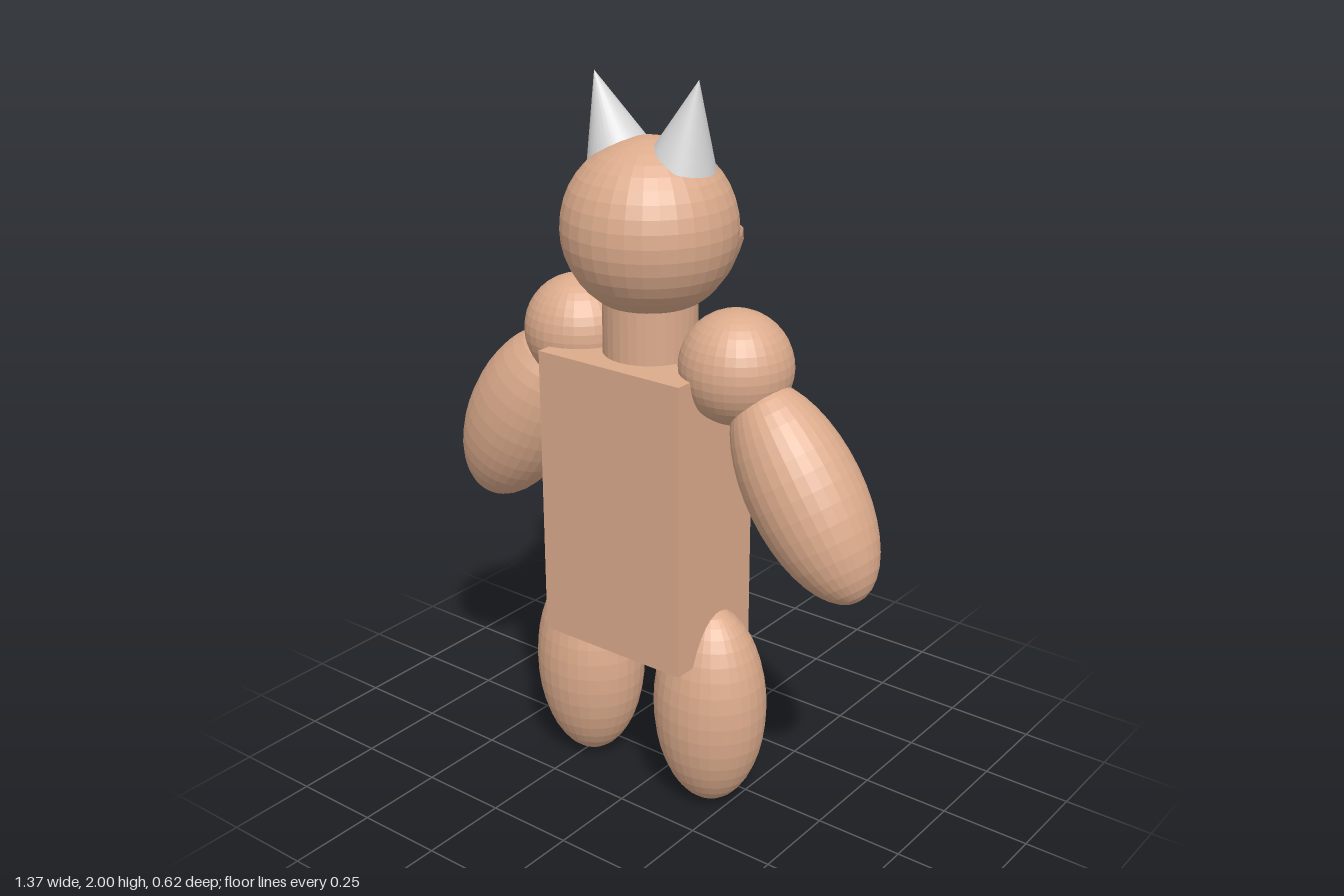
import * as THREE from 'three';

const skin = new THREE.MeshStandardMaterial({ color: 0xdcab8c, flatShading: true });
skin.name = 'tan skin';
const horn = new THREE.MeshStandardMaterial({ color: 0xd6d6d6 });
horn.name = 'pale grey horn';

const CX = -0.022, CZ = 0.08; // body axis

function part(name, geometry, material, x, y, z) {
  const mesh = new THREE.Mesh(geometry, material);
  mesh.name = name;
  mesh.position.set(x, y, z);
  return mesh;
}

// Ball stretched to three radii and leaned about z
function ellipsoid(name, [x, y, z], [rx, ry, rz], lean = 0) {
  const geometry = new THREE.SphereGeometry(1, 32, 20).scale(rx, ry, rz);
  const mesh = part(name, geometry, skin, x, y, z);
  mesh.rotation.z = lean;
  return mesh;
}

// Sphere whose lower face is pulled out to a blunt snout, with one eye dent
function headGeometry() {
  const geometry = new THREE.SphereGeometry(0.23, 32, 20);
  const pos = geometry.attributes.position;
  for (let i = 0; i < pos.count; i++) {
    const x = pos.getX(i), y = pos.getY(i), z = pos.getZ(i);
    if (z > 0) continue;
    const qx = Math.max(0, Math.abs(x + 0.008) - 0.03) / 0.12;
    const qy = Math.max(0, Math.abs(y + 0.125) - 0.035) / 0.1;
    const pull = 0.185 * Math.max(0, 1 - Math.hypot(qx, qy));
    const dent = 0.035 * Math.max(0, 1 - Math.hypot(x - 0.11, y - 0.04) / 0.055);
    pos.setZ(i, z - pull + dent);
  }
  geometry.computeVertexNormals();
  return geometry;
}

// Cone from the centre of its base to its tip
function hornMesh(name, base, tip) {
  const a = new THREE.Vector3(...base), b = new THREE.Vector3(...tip);
  const axis = b.clone().sub(a);
  const height = axis.length();
  const geometry = new THREE.ConeGeometry(0.088, height, 32).translate(0, height / 2, 0);
  const mesh = part(name, geometry, horn, ...base);
  mesh.quaternion.setFromUnitVectors(new THREE.Vector3(0, 1, 0), axis.normalize());
  return mesh;
}

export function createModel() {
  const group = new THREE.Group();
  group.name = 'hornedFigure';

  // Trunk, neck and head
  group.add(
    part('torso', new THREE.BoxGeometry(0.46, 0.815, 0.32), skin, CX, 0.875, 0.1),
    part('neck', new THREE.CylinderGeometry(0.125, 0.125, 0.3, 32), skin, CX, 1.35, CZ),
    part('head', headGeometry(), skin, CX, 1.615, CZ),
  );

  // Horns
  group.add(
    hornMesh('rightHorn', [-0.12, 1.79, 0.077], [-0.2, 1.99, 0.077]),
    hornMesh('leftHorn', [0.078, 1.79, 0.077], [0.13, 2.0, 0.077]),
  );

  // Shoulders, arms and legs
  group.add(
    ellipsoid('rightShoulder', [-0.27, 1.295, 0.075], [0.15, 0.15, 0.145]),
    ellipsoid('leftShoulder', [0.25, 1.295, 0.075], [0.15, 0.15, 0.145]),
    ellipsoid('rightArm', [-0.483, 1.002, 0.075], [0.16, 0.3, 0.145], -0.51),
    ellipsoid('leftArm', [0.473, 1.012, 0.085], [0.15, 0.305, 0.147], 0.585),
    ellipsoid('rightLeg', [-0.248, 0.3, 0.08], [0.162, 0.297, 0.145]),
    ellipsoid('leftLeg', [0.18, 0.297, 0.08], [0.162, 0.297, 0.145]),
  );
  return group;
}
